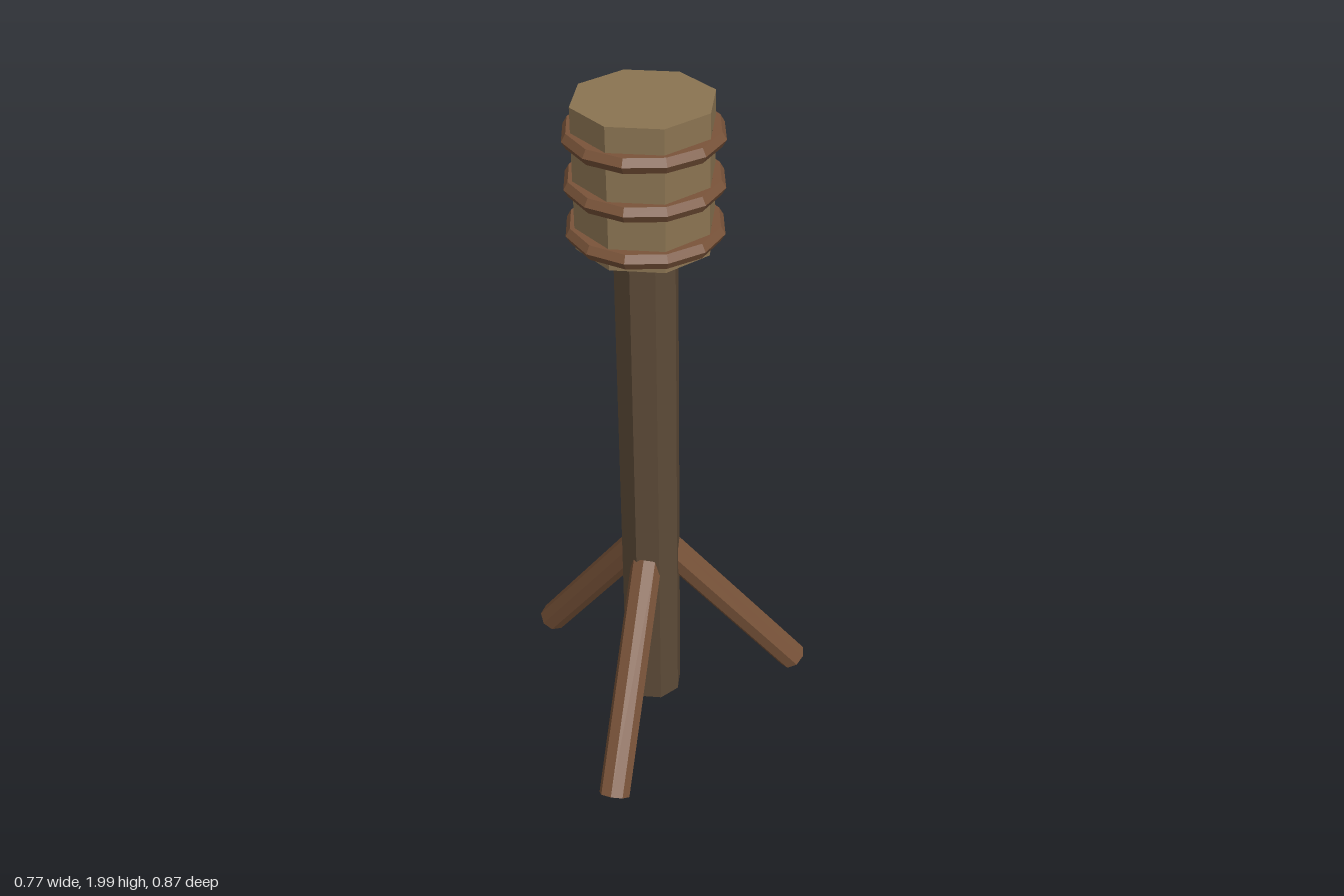
import * as THREE from 'three';

const material = (color) => new THREE.MeshStandardMaterial({ color, flatShading: true });

export function createModel() {
  const model = new THREE.Group();
  model.name = 'tripodPost';
  const poleWood = material(0x5c4a37);
  const headWood = material(0x8b7452);
  const legWood = material(0x7a543a);

  const add = (name, geometry, mat, parent) => {
    const mesh = new THREE.Mesh(geometry, mat);
    mesh.name = name;
    parent.add(mesh);
    return mesh;
  };

  // Everything stands around one upright axis, offset so the three legs are centred
  const axis = new THREE.Group();
  axis.name = 'post';
  axis.position.x = -0.115;
  model.add(axis);

  // Octagonal pole and head
  add('pole', new THREE.CylinderGeometry(0.087, 0.087, 1.56, 8), poleWood, axis).position.y = 0.84;
  add('head', new THREE.CylinderGeometry(0.185, 0.185, 0.384, 8), headWood, axis).position.y = 1.808;

  // Bands around the head
  for (const y of [1.655, 1.784, 1.913]) {
    const band = add('band', new THREE.TorusGeometry(0.185, 0.0235, 6, 12), legWood, axis);
    band.rotation.x = Math.PI / 2;
    band.position.y = y;
  }

  // Three splayed legs, each from (radius, height) at the pole to the foot
  const top = new THREE.Vector2(0.05, 0.585);
  const foot = new THREE.Vector2(0.461, 0.032);
  for (let i = 0; i < 3; i++) {
    const pivot = new THREE.Group();
    pivot.name = 'legPivot';
    pivot.rotation.y = (i * Math.PI * 2) / 3;
    axis.add(pivot);
    const leg = add('leg', new THREE.CylinderGeometry(0.045, 0.045, top.distanceTo(foot), 8), legWood, pivot);
    leg.position.set((top.x + foot.x) / 2, (top.y + foot.y) / 2, 0);
    leg.rotation.z = Math.atan2(foot.x - top.x, top.y - foot.y);
  }
  return model;
}
